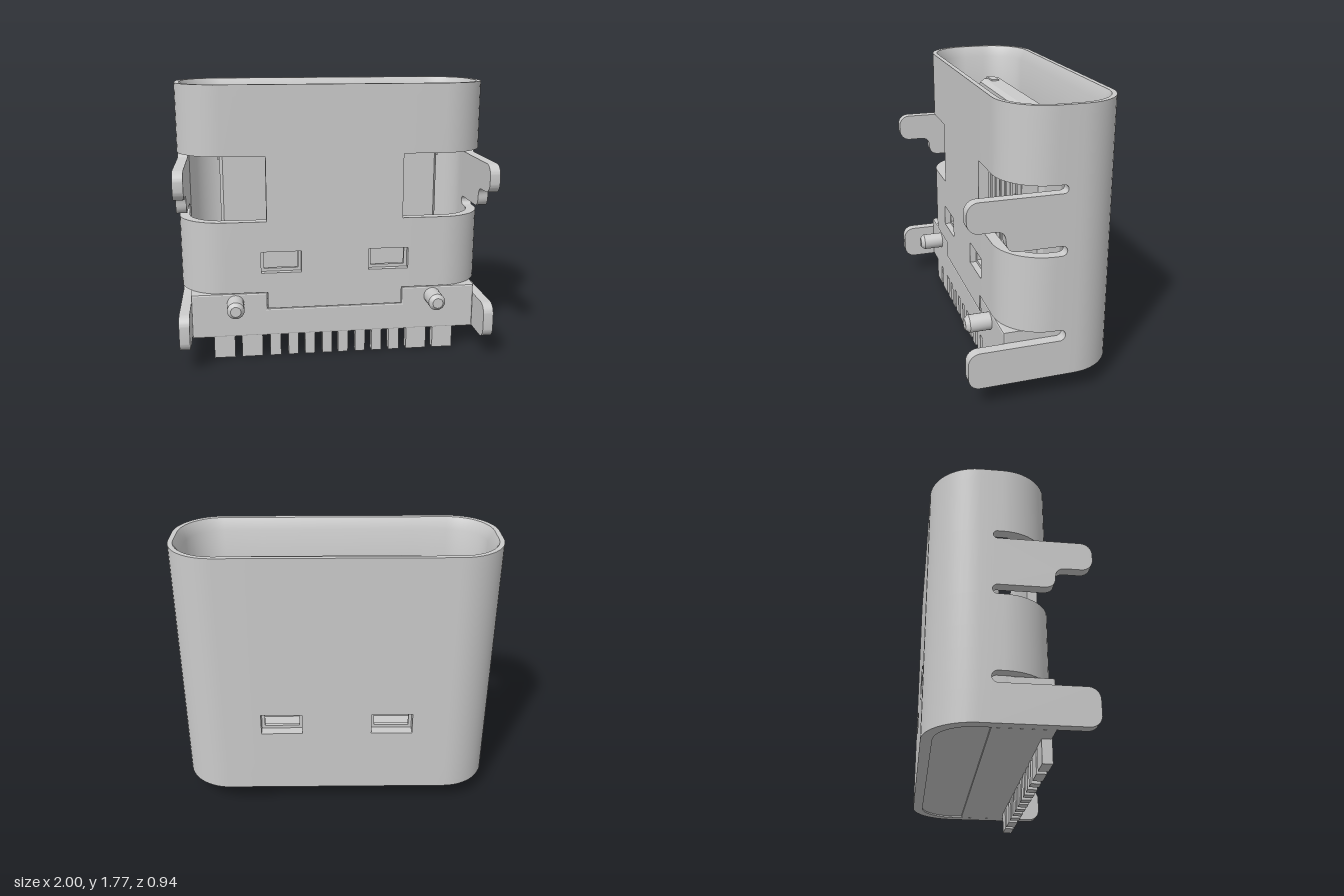
import * as THREE from 'three';
import { toCreasedNormals } from 'three/addons/utils/BufferGeometryUtils.js';

const WALL = 0.065, R = 0.29, CX = 0.71, ZF = -0.045, ZB = -0.18;
const metal = new THREE.MeshStandardMaterial({ color: 0xcccccc });

// Plan outline of the shell: points with outward normals, running along the front towards +x
function outlineNodes() {
  const nodes = [];
  const add = (x, z, nx, nz) => nodes.push({ x, z, nx, nz });
  const corner = (cx, cz, start) => {
    for (let i = 0; i <= 12; i++) {
      const a = start - (i / 12) * Math.PI / 2;
      add(cx + R * Math.cos(a), cz + R * Math.sin(a), Math.cos(a), Math.sin(a));
    }
  };
  for (const x of [-0.48, -0.44, -0.22, 0.22, 0.44, 0.48]) add(x, ZF + R, 0, 1);
  corner(CX, ZF, Math.PI / 2);
  add(1, -0.12, 1, 0);
  corner(CX, ZB, 0);
  for (const x of [0.48, 0.22, -0.22, -0.48]) add(x, ZB - R, 0, -1);
  corner(-CX, ZB, -Math.PI / 2);
  add(-1, -0.12, -1, 0);
  corner(-CX, ZF, Math.PI);
  return nodes;
}

// Where the sheet metal is present
function isSolid(x, z, y) {
  const ax = Math.abs(x), front = z > -0.12;
  if (ax > 0.22 && ax < 0.48 && y > 0.57 && y < 0.71) return false; // small windows
  if (front && ax > 0.44 && y > 0.91 && y < 1.33) return false;     // corner openings
  if (front && y < (ax > 0.44 ? 0.44 : 0.33)) return false;         // stepped lower front edge
  return true;
}

// Closed sheet-metal sleeve made from solid cells of an outline-by-height grid
function shellGeometry(nodes) {
  const ys = [0.14, 0.33, 0.44, 0.57, 0.71, 0.91, 1.33, 1.7, 1.77];
  const n = nodes.length, rows = ys.length - 1, pos = [];
  const outer = (i, k) => [nodes[i].x, ys[k], nodes[i].z];
  const inner = (i, k) => {
    const t = k === rows ? 0.03 : WALL, p = nodes[i]; // bevelled mouth
    return [p.x - p.nx * t, ys[k], p.z - p.nz * t];
  };
  const quad = (a, b, c, d) => pos.push(...a, ...b, ...c, ...a, ...c, ...d);
  const solid = (i, k) => {
    if (k < 0 || k >= rows) return false;
    const p = nodes[(i + n) % n], q = nodes[(i + 1 + n) % n];
    return isSolid((p.x + q.x) / 2, (p.z + q.z) / 2, (ys[k] + ys[k + 1]) / 2);
  };
  for (let i = 0; i < n; i++) for (let k = 0; k < rows; k++) {
    if (!solid(i, k)) continue;
    const j = (i + 1) % n, u = k + 1;
    quad(outer(i, k), outer(j, k), outer(j, u), outer(i, u));
    quad(inner(j, k), inner(i, k), inner(i, u), inner(j, u));
    if (!solid(i, u)) quad(outer(i, u), outer(j, u), inner(j, u), inner(i, u));
    if (!solid(i, k - 1)) quad(inner(i, k), inner(j, k), outer(j, k), outer(i, k));
    if (!solid(i + 1, k)) quad(outer(j, k), inner(j, k), inner(j, u), outer(j, u));
    if (!solid(i - 1, k)) quad(inner(i, k), outer(i, k), outer(i, u), inner(i, u));
  }
  const g = new THREE.BufferGeometry();
  g.setAttribute('position', new THREE.Float32BufferAttribute(pos, 3));
  return toCreasedNormals(g, 0.5);
}

const polygon = (pts) => new THREE.Shape(pts.map(([x, y]) => new THREE.Vector2(x, y)));
const extrude = (shape, depth, options = {}) =>
  new THREE.ExtrudeGeometry(shape, { depth, bevelEnabled: false, curveSegments: 8, ...options });

// Leg profiles, drawn in (z, y); each includes the round slot ends at its root
function upperLegShape() {
  const s = new THREE.Shape();
  s.moveTo(-0.12, 0.91);
  s.lineTo(-0.08, 0.91);
  s.absarc(-0.08, 0.94, 0.03, -Math.PI / 2, Math.PI / 2, true);
  s.lineTo(0.18, 0.97);
  s.quadraticCurveTo(0.25, 0.97, 0.25, 1.04);
  s.quadraticCurveTo(0.25, 1.1, 0.31, 1.1);
  s.lineTo(0.4, 1.1);
  s.absarc(0.4, 1.17, 0.07, -Math.PI / 2, 0, false);
  s.absarc(0.4, 1.21, 0.07, 0, Math.PI / 2, false);
  s.lineTo(-0.08, 1.28);
  s.absarc(-0.08, 1.305, 0.025, -Math.PI / 2, Math.PI / 2, true);
  s.lineTo(-0.12, 1.33);
  return s;
}
function lowerLegShape() {
  const s = new THREE.Shape();
  s.moveTo(-0.12, 0.14);
  s.lineTo(0.4, 0.14);
  s.absarc(0.4, 0.21, 0.07, -Math.PI / 2, 0, false);
  s.absarc(0.4, 0.3, 0.07, 0, Math.PI / 2, false);
  s.lineTo(-0.08, 0.37);
  s.absarc(-0.08, 0.405, 0.035, -Math.PI / 2, Math.PI / 2, true);
  s.lineTo(-0.12, 0.44);
  return s;
}

export function createModel() {
  const group = new THREE.Group();
  const add = (name, geometry, x = 0, y = 0, z = 0) => {
    const mesh = new THREE.Mesh(geometry, metal);
    mesh.name = name;
    mesh.position.set(x, y, z);
    group.add(mesh);
    return mesh;
  };
  const box = (name, x0, x1, y0, y1, z0, z1) =>
    add(name, new THREE.BoxGeometry(x1 - x0, y1 - y0, z1 - z0), (x0 + x1) / 2, (y0 + y1) / 2, (z0 + z1) / 2);

  const nodes = outlineNodes();
  add('shell', shellGeometry(nodes));

  // Mounting legs on both sides
  for (const [name, shape] of [['upperLeg', upperLegShape()], ['lowerLeg', lowerLegShape()]]) {
    const g = toCreasedNormals(extrude(shape, WALL).rotateY(-Math.PI / 2), 0.5);
    add(name + 'Left', g, 1);
    add(name + 'Right', g, -1 + WALL);
  }

  // Lips narrowing the small windows, front and back
  const lip = polygon([[-0.13, -0.07], [0.13, -0.07], [0.13, 0.07], [-0.13, 0.07]]);
  lip.holes.push(new THREE.Path([[-0.11, -0.05], [-0.11, 0.06], [0.11, 0.06], [0.11, -0.05]]
    .map(([x, y]) => new THREE.Vector2(x, y))));
  const lipGeometry = extrude(lip, 0.025);
  for (const x of [-0.35, 0.35]) {
    add('frontWindowLip', lipGeometry, x, 0.64, 0.18);
    add('backWindowLip', lipGeometry, x, 0.64, -0.405);
  }

  // Insulating core closing the bottom of the shell
  const core = polygon(nodes.map((p) => [p.x - p.nx * WALL, -(p.z - p.nz * WALL)]));
  add('core', toCreasedNormals(extrude(core, 0.37).rotateX(-Math.PI / 2), 0.5), 0, 0.15);

  // Housing block filling the stepped lower front
  const block = polygon([[-0.933, 0.14], [0.933, 0.14], [0.933, 0.437], [0.443, 0.437],
    [0.443, 0.327], [-0.443, 0.327], [-0.443, 0.437], [-0.933, 0.437]]);
  add('housing', extrude(block, 0.33, {
    bevelEnabled: true, bevelSize: 0.012, bevelOffset: -0.012, bevelThickness: 0.012, bevelSegments: 2,
  }), 0, 0, -0.1);

  // Locating pegs with bevelled tips
  const peg = new THREE.LatheGeometry(
    [[0.055, 0], [0.055, 0.14], [0.033, 0.165], [0, 0.165]].map(([r, y]) => new THREE.Vector2(r, y)), 24);
  const pegGeometry = toCreasedNormals(peg.rotateX(Math.PI / 2), 0.5);
  for (const x of [-0.65, 0.65]) add('peg', pegGeometry, x, 0.37, 0.235);

  // Solder pins and tongue details, mirrored about the centre
  for (const side of [-1, 1]) {
    const mirrored = (name, a, b, ...rest) => box(name, Math.min(a * side, b * side), Math.max(a * side, b * side), ...rest);
    for (const [a, b] of [[0.02, 0.085], [0.135, 0.2], [0.245, 0.31], [0.36, 0.43], [0.48, 0.615], [0.66, 0.795]]) {
      mirrored('pin', a, b, 0, 0.16, 0.18, 0.24);
    }
    for (let i = 0; i < 4; i++) {
      const x = 0.02 + i * 0.11;
      mirrored('frontContact', x, x + 0.07, 0.6, 1.57, -0.04, -0.03);
      mirrored('backContact', x, x + 0.07, 0.6, 1.57, -0.205, -0.195);
    }
    // Latch plate set into the edge of the tongue
    const latch = polygon([[0.4, 1.26], [0.745, 1.26], [0.745, 1.5], [0.52, 1.63], [0.4, 1.63]]
      .map(([x, y]) => [x * side, y]));
    add('latchPlate', extrude(latch, 0.05), 0, 0, -0.14);
  }

  // Centre tongue with bevelled edges and cut corners
  const tongue = polygon([[-0.73, 0.5], [0.73, 0.5], [0.73, 1.48], [0.5, 1.62], [-0.5, 1.62], [-0.73, 1.48]]);
  add('tongue', extrude(tongue, 0.105, {
    bevelEnabled: true, bevelSize: 0.02, bevelOffset: -0.02, bevelThickness: 0.03, bevelSegments: 1,
  }), 0, 0, -0.17);

  return group;
}
